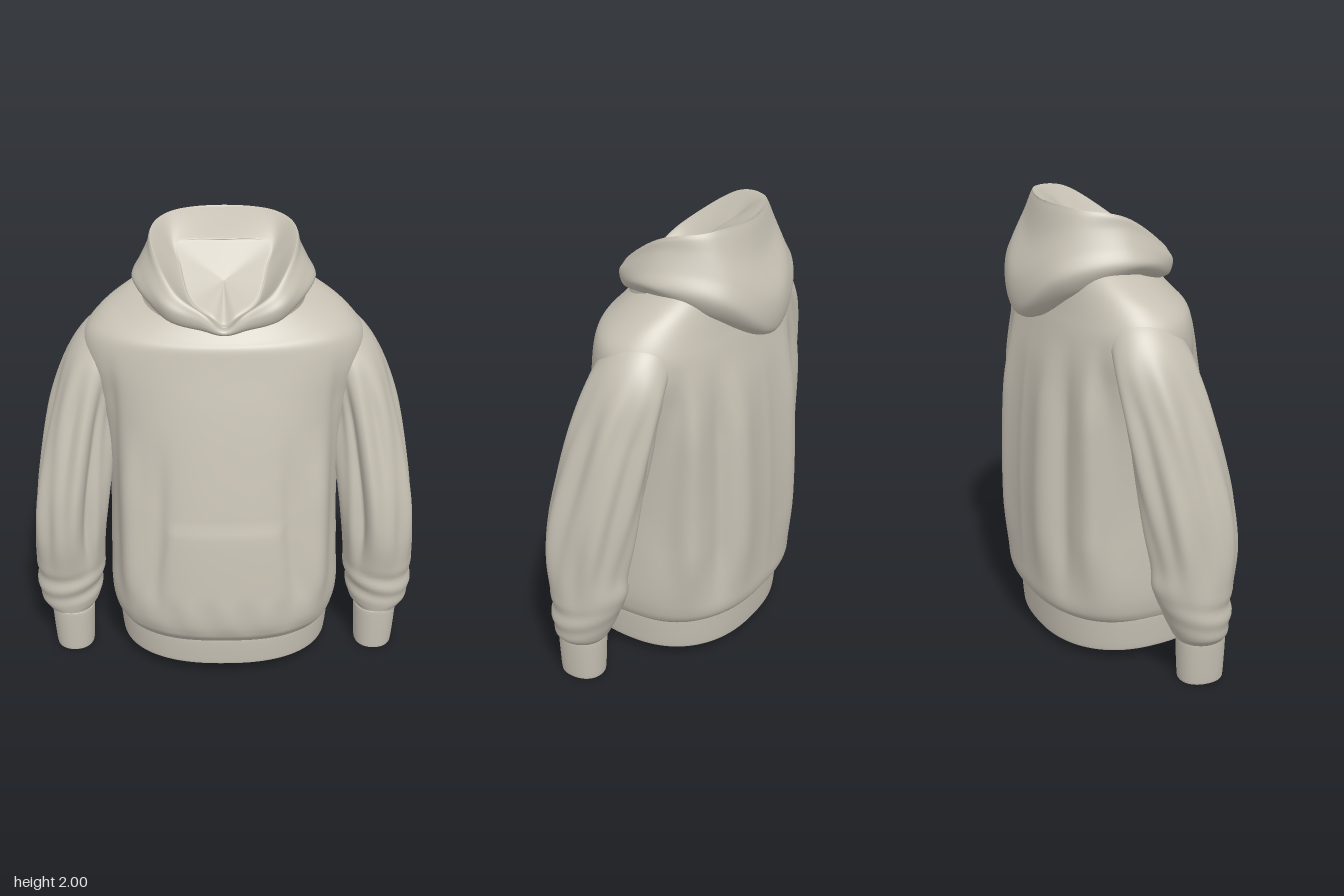
import * as THREE from 'three';

const fabric = new THREE.MeshStandardMaterial({ color: 0xc6c0b3, side: THREE.DoubleSide });
fabric.name = 'warm grey fabric';

const { smoothstep, clamp, lerp } = THREE.MathUtils;
const bump = (x, centre, width) => Math.exp(-(((x - centre) / width) ** 2));
const band = (y, a, b, soft) => smoothstep(y, a - soft, a + soft) * (1 - smoothstep(y, b - soft, b + soft));

// Catmull-Rom blend of four equal-length number rows
const blend = (a, b, c, d, u) => b.map((_, k) => 0.5 * (2 * b[k] + (c[k] - a[k]) * u
  + (2 * a[k] - 5 * b[k] + 4 * c[k] - d[k]) * u * u
  + (3 * b[k] - a[k] - 3 * c[k] + d[k]) * u * u * u));

// Smooth path through a list of rows, t in 0..1
function spline(rows, t) {
  const n = rows.length - 1;
  const f = clamp(t, 0, 1) * n;
  const i = Math.min(Math.floor(f), n - 1);
  return blend(rows[Math.max(i - 1, 0)], rows[i], rows[i + 1], rows[Math.min(i + 2, n)], f - i);
}

// Smooth closed-ring surface from point(angle, t)
function loft(name, nu, nv, point) {
  const pos = [], index = [];
  for (let j = 0; j <= nv; j++) {
    for (let i = 0; i < nu; i++) pos.push(...point((i / nu) * Math.PI * 2, j / nv));
  }
  for (let j = 0; j < nv; j++) {
    for (let i = 0; i < nu; i++) {
      const a = j * nu + i, b = j * nu + ((i + 1) % nu);
      index.push(a, b, b + nu, a, b + nu, a + nu);
    }
  }
  const geo = new THREE.BufferGeometry();
  geo.setAttribute('position', new THREE.Float32BufferAttribute(pos, 3));
  geo.setIndex(index);
  geo.computeVertexNormals();
  const mesh = new THREE.Mesh(geo, fabric);
  mesh.name = name;
  return mesh;
}

// Horizontal rounded section from a row [y, x0, x1, zBack, zFront]
function section(row, angle, power, fold = () => 0) {
  const [y, x0, x1, zb, zf] = row;
  const s = Math.sin(angle), c = Math.cos(angle);
  const r = (Math.abs(s) ** power + Math.abs(c) ** power) ** (-1 / power);
  const x = (x0 + x1) / 2 + ((x1 - x0) / 2) * s * r;
  const z = (zb + zf) / 2 + ((zf - zb) / 2) * c * r;
  const d = fold(x, y, angle);
  return [x + s * d, y, z + c * d];
}

// Torso cloth: pocket, side ridges and soft drapes
function bodyFold(x, y, angle) {
  const ax = Math.abs(x), low = band(y, 0.35, 1.05, 0.2), c = Math.cos(angle);
  // Pinched creases beside the armholes
  let d = -0.03 * band(y, 0.5, 1.4, 0.15) * bump(ax, 0.49, 0.03) * Math.abs(c);
  if (c > 0) {
    const edge = 0.25 + 0.12 * smoothstep(0.8 - y, 0.05, 0.5);
    d += 0.007 * smoothstep(y, 0.25, 0.45) * (1 - smoothstep(y, 0.77, 0.79)) * (1 - smoothstep(ax, edge - 0.02, edge + 0.02));
    d += low * (0.03 * bump(ax, 0.41, 0.045) - 0.016 * bump(ax, 0.33 - 0.05 * y, 0.035));
    d += 0.005 * Math.sin(x * 38 + y * 3) * band(y, 0.27, 0.42, 0.06);
  } else {
    const tall = band(y, 0.4, 1.3, 0.2);
    d += tall * (0.018 * bump(ax, 0.21, 0.06) - 0.035 * bump(ax, 0.33, 0.045)
      + 0.035 * bump(ax, 0.44, 0.04) - 0.01 * bump(ax, 0.05, 0.08));
  }
  return d;
}

// Sleeve cloth: long creases above, loose uneven bunching above the cuff
function sleeveFold(x, y, angle) {
  const long = band(y, 0.55, 1.35, 0.18), bunch = band(y, 0.28, 0.42, 0.05);
  return long * (0.01 * Math.sin(angle * 6 + y * 2.5) + 0.006 * Math.sin(angle * 11 - y * 4))
    - 0.035 * long * bump(angle, 5.75 + 0.25 * (y - 1), 0.16)
    - 0.035 * long * bump(angle, 3.5 - 0.3 * (y - 1), 0.18)
    + 0.008 * bunch * Math.sin(y * 55 + 2.6 * Math.sin(angle + 0.6)) * (0.6 + 0.4 * Math.cos(angle))
    + 0.015 * bump(y, 0.47, 0.06) * bump(angle, 3.1, 0.6);
}

// Torso and waistband rows: y, half width, back z, front z
const widen = ([y, w, b, f]) => [y, -w, w, b, f];
const BODY = [
  [0.185, 0.47, -0.38, 0.39], [0.215, 0.49, -0.42, 0.415], [0.26, 0.505, -0.44, 0.445],
  [0.35, 0.515, -0.445, 0.457], [0.55, 0.515, -0.453, 0.44], [0.8, 0.51, -0.453, 0.405],
  [1.1, 0.525, -0.437, 0.345], [1.3, 0.56, -0.41, 0.3], [1.45, 0.605, -0.375, 0.262],
  [1.55, 0.6, -0.35, 0.238], [1.63, 0.535, -0.325, 0.22], [1.69, 0.435, -0.3, 0.2], [1.73, 0.35, -0.26, 0.17],
].map(widen);
const HEM = [
  [0.2, 0.001, -0.001, 0.001], [0.12, 0.44, -0.355, 0.365], [0.062, 0.455, -0.365, 0.38],
  [0.055, 0.465, -0.378, 0.395], [0.07, 0.474, -0.385, 0.403], [0.195, 0.485, -0.395, 0.408], [0.215, 0.48, -0.39, 0.4],
].map(widen);

// Left arm rows: y, inner x, outer x, back z, front z
const SLEEVE = [
  [0.19, 0.62, 0.79, 0.005, 0.195], [0.215, 0.6, 0.82, -0.02, 0.203], [0.26, 0.575, 0.848, -0.045, 0.21],
  [0.4, 0.55, 0.86, -0.1, 0.222], [0.6, 0.535, 0.858, -0.13, 0.252], [0.8, 0.515, 0.842, -0.165, 0.245],
  [1.0, 0.49, 0.807, -0.195, 0.21], [1.2, 0.46, 0.762, -0.22, 0.165], [1.4, 0.42, 0.698, -0.245, 0.115],
  [1.53, 0.36, 0.625, -0.225, 0.06], [1.61, 0.34, 0.535, -0.18, 0.02], [1.64, 0.41, 0.42, -0.1, -0.09],
];
const CUFF = [
  [0.07, 0.699, 0.7, 0.099, 0.1], [0.06, 0.635, 0.76, 0.025, 0.175], [0.015, 0.625, 0.77, 0.015, 0.187],
  [0.004, 0.615, 0.778, 0.007, 0.195], [0.02, 0.61, 0.785, 0, 0.2], [0.19, 0.603, 0.797, -0.008, 0.205],
  [0.21, 0.61, 0.79, 0, 0.2],
];

// Hood rings from neck seam over the rim to the lining:
// front y z, front side x y z, side x y z, back side x y z, back y z
const HOOD = [
  [1.61, 0.17, 0.22, 1.66, 0.12, 0.345, 1.715, -0.08, 0.25, 1.63, -0.27, 1.5, -0.34],
  [1.625, 0.195, 0.25, 1.68, 0.14, 0.375, 1.745, -0.08, 0.27, 1.65, -0.33, 1.495, -0.41],
  [1.633, 0.205, 0.26, 1.715, 0.152, 0.393, 1.785, -0.08, 0.28, 1.72, -0.37, 1.54, -0.46],
  [1.64, 0.207, 0.262, 1.755, 0.152, 0.362, 1.845, -0.09, 0.255, 1.81, -0.345, 1.68, -0.462],
  [1.645, 0.205, 0.245, 1.785, 0.142, 0.328, 1.91, -0.085, 0.245, 1.91, -0.3, 1.84, -0.378],
  [1.65, 0.2, 0.222, 1.805, 0.135, 0.316, 1.95, -0.075, 0.24, 1.985, -0.265, 1.982, -0.335],
  [1.652, 0.19, 0.207, 1.8, 0.12, 0.298, 1.947, -0.075, 0.225, 1.987, -0.25, 1.987, -0.315],
  [1.65, 0.15, 0.15, 1.73, 0.07, 0.195, 1.83, -0.06, 0.2, 1.91, -0.16, 1.92, -0.17],
];

// One column of control points per direction; an extra one sharpens the front V
function hoodColumn(k) {
  const i = Math.min(k, 10 - k), side = k <= 5 ? 1 : -1;
  const wall = HOOD.map((r) => {
    const front = [0, r[0], r[1]], back = [0, r[11], r[12]];
    const near = [0.38 * r[2], lerp(r[0], r[3], 0.42), lerp(r[1], r[4], 0.12)];
    const p = [front, near, r.slice(2, 5), r.slice(5, 8), r.slice(8, 11), back][i];
    return [side * p[0], p[1], p[2]];
  });
  // Lining panel slopes down from the back lip to the front V
  const last = wall[wall.length - 1], middle = [0, 1.775, -0.03];
  const panel = [0.12, 0.55, 1].map((f) => last.map((v, n) => lerp(v, middle[n], f)));
  return [...wall, ...panel];
}

export function createModel() {
  const group = new THREE.Group();
  group.name = 'hoodie';

  // Torso, tilted down at the front of the neck
  group.add(loft('body', 180, 110, (a, t) => {
    const row = spline(BODY, t);
    const [x, y, z] = section(row, a, 2.5 - 0.3 * smoothstep(row[0], 1.0, 1.6), bodyFold);
    return [x, y - 0.35 * (z + 0.05) * smoothstep(y, 1.55, 1.73), z];
  }));

  // Waistband, lower at the back, closed inside
  group.add(loft('hemBand', 120, 48, (a, t) => {
    const [x, y, z] = section(spline(HEM, t), a, 2.35);
    return [x, y + 0.04 * z * (1 - smoothstep(y, 0.08, 0.2)), z];
  }));

  // Sleeves and cuffs on both sides
  for (const side of [1, -1]) {
    const label = side > 0 ? 'left' : 'right';
    const arm = (rows, power, fold) => (a, t) => {
      const angle = side > 0 ? a : (Math.PI * 2 - a) % (Math.PI * 2);
      const [x, y, z] = section(spline(rows, t), angle, power, fold);
      return [side * x, y, z];
    };
    group.add(loft(label + 'Sleeve', 100, 100, arm(SLEEVE, 2, sleeveFold)));
    group.add(loft(label + 'Cuff', 48, 36, arm(CUFF, 2.2)));
  }

  // Hood with draped back, rolled rim and inner lining
  const columns = Array.from({ length: 10 }, (_, k) => hoodColumn(k));
  group.add(loft('hood', 120, 80, (a, t) => {
    const f = (a / (Math.PI * 2)) * 10, i = Math.floor(f);
    const [p, q, r, s] = [9, 10, 11, 12].map((k) => spline(columns[(i + k) % 10], t));
    return blend(p, q, r, s, f - i);
  }));

  return group;
}
